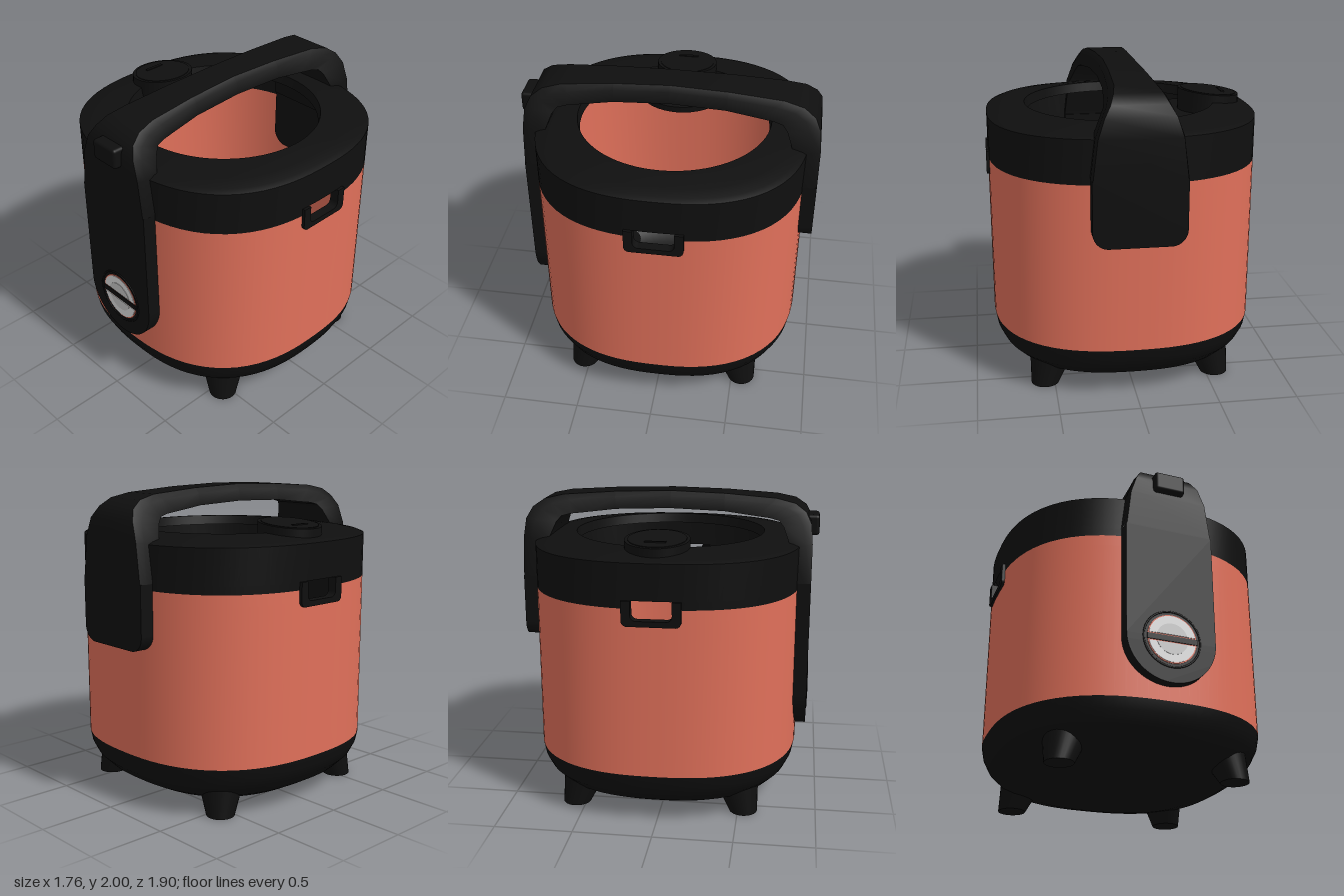
import * as THREE from 'three';
import { toCreasedNormals } from 'three/addons/utils/BufferGeometryUtils.js';
import { RoundedBoxGeometry } from 'three/addons/geometries/RoundedBoxGeometry.js';

const N = 84, R = 0.865, CZ = -0.015;

// Rings of a rounded-square outline; profile rows are [y, scale, exponent]
function shell(profile, windowRow = -1) {
  const pos = [], idx = [];
  for (const [y, s, n = 2.5] of profile) {
    for (let j = 0; j < N; j++) {
      const a = (j / N) * Math.PI * 2, c = Math.cos(a), d = Math.sin(a);
      const r = R * s * (Math.abs(c) ** n + Math.abs(d) ** n) ** (-1 / n);
      pos.push(c * r, y, d * r + CZ);
    }
  }
  for (let i = 0; i < profile.length - 1; i++) {
    for (let j = 0; j < N; j++) {
      // leave the side grip openings free
      if (i === windowRow && (j + 2) % (N / 2) < 4) continue;
      const a = i * N + j, d = i * N + ((j + 1) % N);
      idx.push(a, a + N, d, d, a + N, d + N);
    }
  }
  const g = new THREE.BufferGeometry();
  g.setAttribute('position', new THREE.Float32BufferAttribute(pos, 3));
  g.setIndex(idx);
  g.computeVertexNormals();
  return g;
}

// Handle: each station is [outer z, outer y, half width, inner z, inner y, half width]
function handleGeometry() {
  const front = [
    [0.915, 1.455, 0.28, 0.8, 1.455, 0.285],
    [0.915, 1.7, 0.25, 0.77, 1.7, 0.255],
    [0.905, 1.82, 0.21, 0.73, 1.8, 0.21],
    [0.87, 1.89, 0.17, 0.7, 1.835, 0.19],
    [0.8, 1.94, 0.145, 0.64, 1.85, 0.18],
    [0.68, 1.967, 0.125, 0.56, 1.858, 0.17],
    [0.35, 1.99, 0.11, 0.35, 1.882, 0.15],
    [0, 2, 0.1, 0, 1.893, 0.14],
  ];
  const back = front.slice(0, -1).reverse()
    .map(([oz, oy, wo, iz, iy, wi]) => [-oz * 1.035, oy, wo, -iz * 1.01, iy, wi]);
  const stations = [...front, ...back], pos = [], idx = [];
  for (const [oz, oy, wo, iz, iy, wi] of stations) {
    const mz = iz + (oz - iz) * 0.7, my = iy + (oy - iy) * 0.7, wm = (wo + wi) / 2 + 0.008;
    pos.push(-wi, iy, iz, -wm, my, mz, -wo, oy, oz, wo, oy, oz, wm, my, mz, wi, iy, iz);
  }
  for (let i = 0; i < stations.length - 1; i++) {
    for (let j = 0; j < 6; j++) {
      const a = i * 6 + j, b = i * 6 + ((j + 1) % 6);
      idx.push(a, b, a + 6, b, b + 6, a + 6);
    }
  }
  const g = new THREE.BufferGeometry();
  g.setAttribute('position', new THREE.Float32BufferAttribute(pos, 3));
  g.setIndex(idx);
  return toCreasedNormals(g, 0.6);
}

// Upright plate with rounded bottom corners
function plate(w, y0, y1, r, depth) {
  const s = new THREE.Shape();
  s.moveTo(w, y1);
  s.lineTo(-w, y1);
  s.lineTo(-w, y0 + r);
  s.absarc(-w + r, y0 + r, r, Math.PI, Math.PI * 1.5);
  s.absarc(w - r, y0 + r, r, Math.PI * 1.5, Math.PI * 2);
  s.lineTo(w, y1);
  return new THREE.ExtrudeGeometry(s, { depth, bevelEnabled: false, curveSegments: 20 });
}

// Disc segment above the height h
function segment(r, h, depth) {
  const a = Math.asin(h / r), s = new THREE.Shape();
  s.absarc(0, 0, r, a, Math.PI - a);
  s.closePath();
  return new THREE.ExtrudeGeometry(s, { depth, bevelEnabled: false, curveSegments: 32 });
}

// U-shaped frame of a side grip
function gripGeometry() {
  const s = new THREE.Shape();
  const w = 0.18, t = 1.46, b = 1.305, iw = 0.125, ib = 1.34, r = 0.035;
  s.moveTo(-w, t);
  s.lineTo(-w, b + r);
  s.absarc(-w + r, b + r, r, Math.PI, Math.PI * 1.5);
  s.absarc(w - r, b + r, r, Math.PI * 1.5, Math.PI * 2);
  s.lineTo(w, t);
  s.lineTo(iw, t);
  s.lineTo(iw, ib + r);
  s.absarc(iw - r, ib + r, r, 0, -Math.PI / 2, true);
  s.absarc(-iw + r, ib + r, r, -Math.PI / 2, -Math.PI, true);
  s.lineTo(-iw, t);
  return new THREE.ExtrudeGeometry(s, { depth: 0.06, bevelEnabled: false }).rotateY(Math.PI / 2);
}

export function createModel() {
  const group = new THREE.Group();
  const material = (name, color) => {
    const m = new THREE.MeshStandardMaterial({ color, side: THREE.DoubleSide });
    m.name = name;
    return m;
  };
  const black = material('black plastic', 0x0f0f0f);
  const coral = material('coral enamel', 0xe0705a);
  const silver = material('silver', 0xe2e2e2);
  const grey = material('light grey', 0xcccccc);
  const add = (name, geo, mat, x = 0, y = 0, z = 0) => {
    const m = new THREE.Mesh(geo, mat);
    m.name = name;
    m.position.set(x, y, z);
    group.add(m);
    return m;
  };

  // Hollow body and base
  add('body', shell([[0.34, 1], [1.34, 1], [1.41, 1]], 1), coral);
  add('base', shell([[0.06, 0.001], [0.06, 0.5], [0.065, 0.66], [0.09, 0.78], [0.13, 0.865],
    [0.2, 0.945], [0.27, 0.985], [0.34, 1]]), black);

  // Lid with a round opening
  add('lidSkirt', shell([[1.41, 1], [1.46, 1], [1.685, 1]], 0), black);
  add('lidTop', shell([[1.685, 1], [1.7, 0.96], [1.715, 0.88, 2.4], [1.73, 0.76, 2.15], [1.733, 0.715, 2]]), black);
  add('lidLip', shell([[1.733, 0.715, 2], [1.67, 0.7, 2]]), black);

  // Feet, leaning in towards the top
  for (const sx of [-1, 1]) for (const sz of [-1, 1]) {
    const g = new THREE.CylinderGeometry(0.15, 0.09, 0.22, 28);
    const p = g.attributes.position;
    for (let i = 0; i < p.count; i++) {
      if (p.getY(i) > 0) p.setXYZ(i, p.getX(i) - sx * 0.06, p.getY(i), p.getZ(i) - sz * 0.06);
    }
    g.computeVertexNormals();
    add('foot', toCreasedNormals(g, 0.7), black, sx * 0.56, 0.11, CZ + sz * 0.55);
  }

  // Carrying handle, front panel and hinge cover
  add('handle', handleGeometry(), black);
  add('frontPanel', plate(0.285, 0.43, 1.456, 0.284, 0.125), black, 0, 0, 0.79);
  add('hingeCover', plate(0.285, 1.04, 1.456, 0.1, 0.125), black, 0, 0, -0.947);
  add('latchButton', new RoundedBoxGeometry(0.2, 0.13, 0.12, 3, 0.02), black, 0, 1.795, 0.897);

  // Side grips
  add('leftGrip', gripGeometry(), black, 0.818, 0, CZ);
  add('rightGrip', gripGeometry(), black, -0.878, 0, CZ);

  // Steam vent with a slanted cap on a small deck
  add('ventDeck', new THREE.CylinderGeometry(0.3, 0.3, 0.04, 40), black, -0.5, 1.64, 0);
  const cap = (r, y0, lift) => {
    const g = new THREE.CylinderGeometry(r, r, 0.1, 40);
    const p = g.attributes.position;
    for (let i = 0; i < p.count; i++) {
      p.setY(i, p.getY(i) > 0 ? 1.782 + lift + p.getX(i) * 0.11 : y0);
    }
    g.computeVertexNormals();
    return g;
  };
  add('ventCap', cap(0.2, 1.65, 0), black, -0.6, 0, CZ);
  add('ventInset', cap(0.18, 1.7, 0.004), black, -0.6, 0, CZ);
  add('ventSlot', new THREE.BoxGeometry(0.02, 0.012, 0.13), black, -0.685, 1.777, CZ);

  // Control knob: rim, two silver halves and a bar between them
  const knob = new THREE.Group();
  knob.name = 'knob';
  knob.position.set(0, 0.707, 0.915);
  group.add(knob);
  const put = (name, geo, mat, z, turn = 0) => {
    const m = new THREE.Mesh(geo, mat);
    m.name = name;
    m.position.z = z;
    m.rotation.z = turn;
    knob.add(m);
  };
  put('knobRim', new THREE.TorusGeometry(0.18, 0.006, 8, 48), black, 0);
  for (const turn of [0, Math.PI]) {
    put('knobEdge', segment(0.157, 0.018, 0.003), coral, 0, turn);
    put('knobHalf', segment(0.15, 0.026, 0.006), silver, 0, turn);
    put('knobCentre', segment(0.1, 0.026, 0.008), grey, 0, turn);
  }
  put('knobBar', new THREE.BoxGeometry(0.32, 0.036, 0.016), black, 0);

  return group;
}
